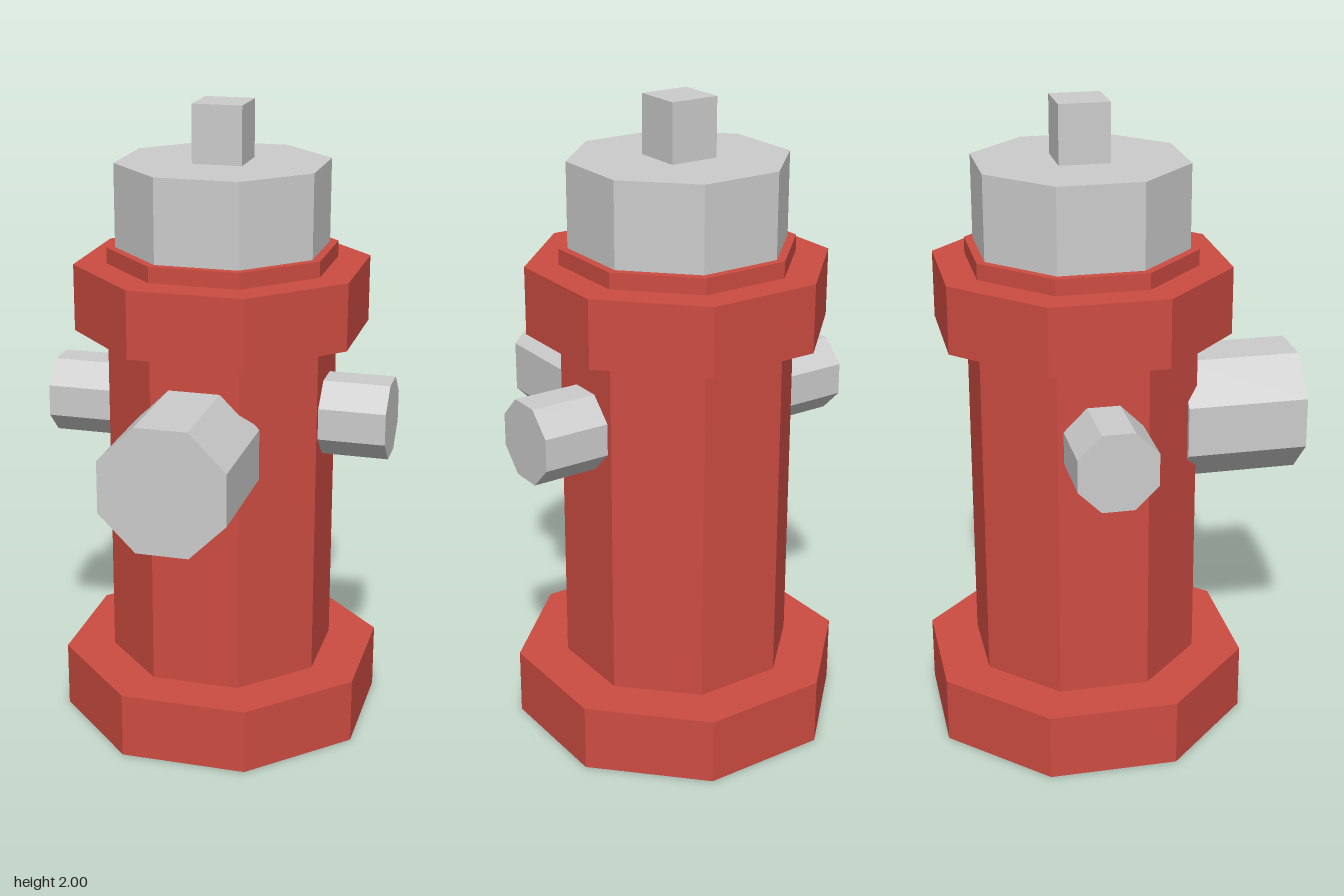
import * as THREE from 'three';

const red = new THREE.MeshStandardMaterial({ color: 0xcd4c42, flatShading: true, name: 'hydrantRed' });
const grey = new THREE.MeshStandardMaterial({ color: 0xcccccc, flatShading: true, name: 'metalGrey' });

// Octagonal prism along y with flat sides facing the axes; r is the distance to a flat.
function octagon(r, length) {
  const radius = r / Math.cos(Math.PI / 8);
  return new THREE.CylinderGeometry(radius, radius, length, 8).rotateY(Math.PI / 8);
}

export function createModel() {
  const model = new THREE.Group();
  model.name = 'hydrant';
  const axisZ = -0.1; // the barrel sits behind the origin, balancing the front outlet

  const add = (name, geometry, material, x, y, z) => {
    const mesh = new THREE.Mesh(geometry, material);
    mesh.name = name;
    mesh.position.set(x, y, z);
    model.add(mesh);
  };

  // Stacked upright parts: name, flat radius, bottom, top, material
  const stack = [
    ['base', 0.48, 0, 0.21, red],
    ['barrel', 0.335, 0.21, 1.56, red],
    ['collar', 0.43, 1.30, 1.51, red],
    ['cap', 0.31, 1.56, 1.82, grey],
  ];
  for (const [name, r, y0, y1, material] of stack) {
    add(name, octagon(r, y1 - y0), material, 0, (y0 + y1) / 2, axisZ);
  }

  // Square operating nut on top
  add('topNut', new THREE.BoxGeometry(0.156, 0.18, 0.156), grey, 0, 1.91, axisZ);

  // Large front outlet, its back end sunk into the barrel
  add('frontOutlet', octagon(0.193, 0.38).rotateX(Math.PI / 2), grey, 0, 0.99, 0.388);

  // Small outlets on both sides
  for (const side of [-1, 1]) {
    add(side > 0 ? 'leftOutlet' : 'rightOutlet',
      octagon(0.12, 0.245).rotateZ(Math.PI / 2), grey, side * 0.4225, 1.04, axisZ);
  }
  return model;
}
